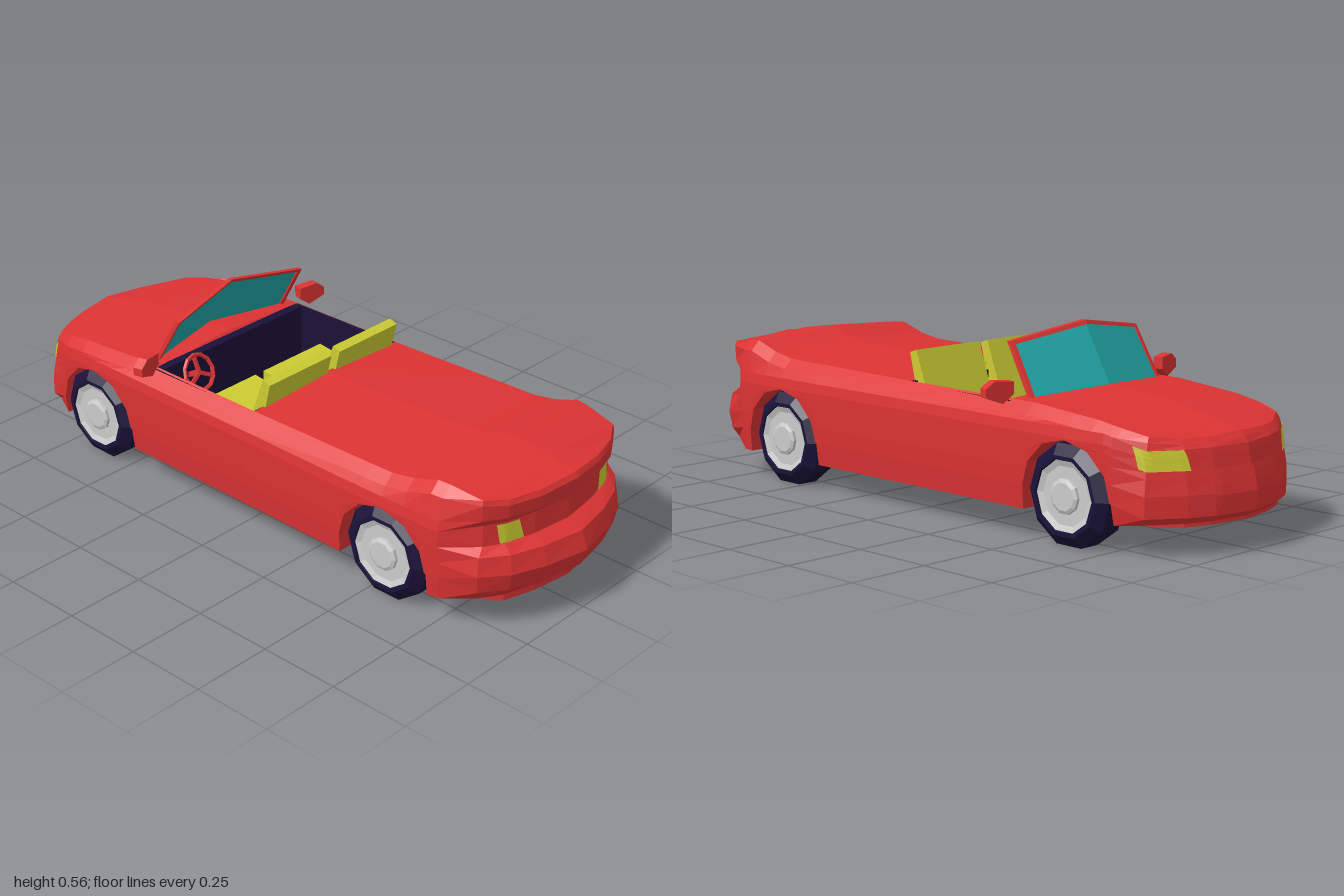
import * as THREE from 'three';

const RED = 0xdd3333, NAVY = 0x1a1238, YELLOW = 0xcccc33, TEAL = 0x22aaaa, GREY = 0xcccccc;
const { clamp, lerp } = THREE.MathUtils;

function mesh(name, geometry, color, doubleSided = false) {
  const material = new THREE.MeshStandardMaterial({ color, flatShading: true });
  if (doubleSided) material.side = THREE.DoubleSide;
  const m = new THREE.Mesh(geometry, material);
  m.name = name;
  return m;
}

function box(name, x0, x1, y0, y1, z0, z1, color) {
  const m = mesh(name, new THREE.BoxGeometry(x1 - x0, y1 - y0, z1 - z0), color);
  m.position.set((x0 + x1) / 2, (y0 + y1) / 2, (z0 + z1) / 2);
  return m;
}

// Grid of points [rows][columns] to a surface, skipping chosen cells
function gridGeometry(rows, closed = false, skip = () => false) {
  const n = rows[0].length, index = [];
  for (let i = 0; i < rows.length - 1; i++) {
    for (let j = 0; j < (closed ? n : n - 1); j++) {
      if (skip(i, j)) continue;
      const a = i * n + j, d = i * n + (j + 1) % n, b = a + n, c = d + n;
      index.push(a, b, c, a, c, d);
    }
  }
  const g = new THREE.BufferGeometry();
  g.setAttribute('position', new THREE.Float32BufferAttribute(rows.flat(2), 3));
  g.setIndex(index);
  g.computeVertexNormals();
  return g;
}

function extrude(points, depth) {
  const shape = new THREE.Shape(points.map(p => new THREE.Vector2(...p)));
  return new THREE.ExtrudeGeometry(shape, { depth, bevelEnabled: false });
}

function interpolate(table, x) {
  for (let i = 1; i < table.length; i++) {
    const [x0, y0] = table[i - 1], [x1, y1] = table[i];
    if (x <= x1) return lerp(y0, y1, clamp((x - x0) / (x1 - x0), 0, 1));
  }
  return table[table.length - 1][1];
}

// Height of the centre line and half width of the sides
const CROWN = [[-1, .32], [-.95, .327], [-.7, .37], [-.47, .39], [0, .392], [.6, .402], [.73, .445], [.97, .41], [1, .41]];
const WIDTH = [[-.78, .343], [-.6, .352], [0, .355], [.5, .36], [.72, .358]];
// Side profiles from sill to shoulder: [inset, height]
const FRONT = [[.03, .09], [0, .11], [0, .17], [.012, .215], [.018, .235], [.025, .27], [.03, .29], [.04, 0], [.055, 0]];
const MIDDLE = [[.015, .08], [.006, .15], [.003, .2], [.001, .25], [0, .28], [0, .3], [.005, .33], [.02, 0], [.05, 0]];
const REAR = [[.06, .1], [.02, .13], [0, .185], [.02, .24], [.07, .26], [.075, .325], [.05, .345], [.045, 0], [.055, 0]];

const WHEELS = [-.62, .56], AXLE = .14, ARCH = .156;
const COCKPIT = [-.38, .03];

// Stations round the plan outline, nose to tail: x, z, outward direction, arch height
const stations = [];
const add = (x, z, nx, nz, arch = 0) => stations.push({ x, z, nx, nz, arch });
const side = (x, arch) => add(x, interpolate(WIDTH, x), 0, 1, arch);
const archStations = cx => {
  side(cx - ARCH - .005);
  for (let k = 0; k <= 6; k++) {
    const a = Math.PI * (1 - k / 6);
    side(cx + ARCH * Math.cos(a), AXLE + ARCH * Math.sin(a));
  }
  side(cx + ARCH + .005);
};
add(-1, 0, -1, 0);
add(-.975, .13, -.9, .15);
add(-.94, .21, -.7, .3);
add(-.87, .305, -.3, .6);
archStations(WHEELS[0]);
COCKPIT.forEach(x => side(x));
archStations(WHEELS[1]);
add(.76, .353, 0, 1);
add(.87, .315, .2, .5);
add(.93, .24, .6, .25);
add(.97, .14, .8, .2);
add(1, 0, 1, 0);

function bodyPoint(i, row, lift = 0) {
  const s = stations[i], end = s.x < 0 ? FRONT : REAR;
  const t = clamp((Math.abs(s.x) - .76) / .11, 0, 1);
  const inset = lerp(MIDDLE[row][0], end[row][0], t) - lift;
  let y = lerp(MIDDLE[row][1], end[row][1], t);
  const drop = .016 * Math.min(1, s.z / .25);
  if (row === 8) y = interpolate(CROWN, s.x) - drop;
  if (row === 7) y = interpolate(CROWN, s.x) - drop - lerp(.03, .015, t);
  return [s.x - s.nx * inset, Math.max(y, s.arch), Math.max(0, s.z - s.nz * inset)];
}

function makeBody() {
  const rings = stations.map((s, i) => {
    const half = MIDDLE.map((_, r) => bodyPoint(i, r));
    const [x, y, z] = half[0];
    const inner = Math.min(.255, z);
    half.unshift([x, Math.min(.08, y), inner], [x, y, inner]);
    const top = half[half.length - 1];
    const centre = [top[0], interpolate(CROWN, s.x), 0];
    return [...half, centre, ...half.map(p => [p[0], p[1], -p[2]]).reverse()];
  });
  const open = stations.findIndex(s => s.x === COCKPIT[0]);
  return gridGeometry(rings, true, (i, j) => i === open && (j === 10 || j === 11));
}

// Panel lying just proud of the body between fractional stations and rows
function patch(name, i0, i1, r0, r1, color, mirror, skew = 0) {
  const at = (u, v) => {
    const i = Math.min(Math.floor(u), stations.length - 2), r = Math.min(Math.floor(v), 7);
    const mix = (a, b, t) => a.map((n, k) => lerp(n, b[k], t));
    const p = mix(mix(bodyPoint(i, r, .006), bodyPoint(i + 1, r, .006), u - i),
      mix(bodyPoint(i, r + 1, .006), bodyPoint(i + 1, r + 1, .006), u - i), v - r);
    return [p[0], p[1], p[2] * mirror];
  };
  const rows = [];
  for (let a = 0; a <= 6; a++) {
    const row = [];
    for (let b = 0; b <= 4; b++) row.push(at(lerp(i0, i1, a / 6) + skew * (b / 4), lerp(r0, r1, b / 4)));
    rows.push(row);
  }
  return mesh(name, gridGeometry(rows), color, true);
}

function makeWheel() {
  const wheel = new THREE.Group();
  const lathe = (name, pts, color, sides) => {
    const g = new THREE.LatheGeometry(pts.map(p => new THREE.Vector2(...p)), sides, Math.PI / sides);
    const m = mesh(name, g.rotateX(Math.PI / 2), color);
    wheel.add(m);
  };
  const R = AXLE / Math.cos(Math.PI / 10);
  lathe('tyre', [[0, .26], [R, .26], [R, .325], [.116, .35], [.104, .35], [.1, .335], [0, .335]], NAVY, 10);
  lathe('rim', [[.102, .33], [.102, .345], [.085, .338], [0, .338]], GREY, 10);
  lathe('hub', [[.05, .33], [.05, .347], [.04, .352], [0, .352]], GREY, 10);
  return wheel;
}

function makeWindscreen() {
  const group = new THREE.Group();
  group.name = 'windscreen';
  const corners = [[-.47, .388, 0], [-.42, .37, .27], [-.37, .565, 0], [-.33, .525, .263]];
  const at = (u, v, m, dx) => [0, 1, 2].map(k =>
    lerp(lerp(corners[0][k], corners[1][k], u), lerp(corners[2][k], corners[3][k], u), v) * (k === 2 ? m : 1) + (k ? 0 : dx));
  const slab = (name, u0, u1, v0, v1, thick, color, m) => {
    const ring = u => [at(u, v0, m, -thick), at(u, v0, m, thick), at(u, v1, m, thick), at(u, v1, m, -thick)];
    const flat = u => ring(u).map(() => at(u, (v0 + v1) / 2, m, 0));
    group.add(mesh(name, gridGeometry([flat(u0), ring(u0), ring(u1), flat(u1)], true), color, true));
  };
  for (const m of [1, -1]) {
    slab('glass', 0, .96, 0, .94, .002, TEAL, m);
    slab('pillar', .955, 1, 0, 1, .008, RED, m);
    slab('topRail', 0, .96, .935, 1, .008, RED, m);
  }
  return group;
}

function makeSeat(z0, z1) {
  const seat = new THREE.Group();
  seat.name = 'seat';
  const cushion = mesh('seatCushion', extrude([[-.26, .14], [-.03, .14], [-.03, .25], [-.26, .28]], z1 - z0), YELLOW);
  const back = mesh('seatBack', extrude([[-.06, .22], [0, .22], [.057, .455], [.03, .465]], z1 - z0), YELLOW);
  seat.add(cushion, back);
  seat.position.z = z0;
  return seat;
}

export function createModel() {
  const car = new THREE.Group();
  car.name = 'convertible';
  car.add(mesh('body', makeBody(), RED, true));

  // Cockpit lining
  const [c0, c1] = COCKPIT;
  car.add(box('cockpitFloor', c0, c1, .12, .14, -.3, .3, NAVY));
  car.add(box('dashboard', c0 - .01, c0 + .02, .13, .37, -.3, .3, NAVY));
  car.add(box('rearBulkhead', c1 - .005, c1 + .005, .13, .375, -.3, .3, NAVY));
  for (const s of [1, -1]) car.add(box('doorLining', c0, c1, .13, .37, s * .305 - .005, s * .305 + .005, NAVY));
  car.add(makeSeat(.01, .27), makeSeat(-.28, -.025));

  // Steering wheel with spokes and column
  const steering = new THREE.Group();
  steering.name = 'steeringWheel';
  steering.add(mesh('steeringRim', new THREE.TorusGeometry(.055, .007, 5, 12), RED));
  for (const a of [0, 2.1, 4.2]) {
    const spoke = mesh('spoke', new THREE.BoxGeometry(.055, .012, .008).translate(.027, 0, 0), RED);
    spoke.rotation.z = a + Math.PI / 2;
    steering.add(spoke);
  }
  steering.add(mesh('column', new THREE.BoxGeometry(.015, .015, .06).translate(0, 0, -.03), RED));
  steering.rotation.set(0, Math.PI / 2, 0);
  steering.rotateX(-.45);
  steering.position.set(-.32, .335, .19);
  car.add(steering, makeWindscreen());

  const last = stations.length - 1;
  for (const s of [1, -1]) {
    // Lights and plate panels that follow the bodywork
    car.add(patch('headlight', 1.85, 3.2, 4, 6, YELLOW, s, .2));
    car.add(patch('tailLight', last - 2.25, last - 1.4, 4.05, 4.95, YELLOW, s, -.15));
    car.add(patch('rearPlate', last - .8, last, 4.15, 4.9, RED, s));
    car.add(patch('grille', 0, 1.1, 1.3, 3.8, RED, s));

    // Door mirror
    const outline = [[0, .425], [0, .39], [.035, .365], [.09, .385], [.09, .41], [.06, .43]];
    const g = extrude(outline.map(([z, y]) => [z * s, y]), .03).translate(0, 0, -.015).rotateY(-Math.PI / 2);
    const mirror = mesh('doorMirror', g, RED);
    mirror.rotation.y = s * .25;
    mirror.position.set(-.385, 0, s * .31);
    car.add(mirror);

    WHEELS.forEach((x, k) => {
      const wheel = makeWheel();
      wheel.name = k ? 'rearWheel' : 'frontWheel';
      wheel.position.set(x, AXLE, 0);
      if (s < 0) wheel.rotation.y = Math.PI;
      car.add(wheel);
    });
  }
  return car;
}
